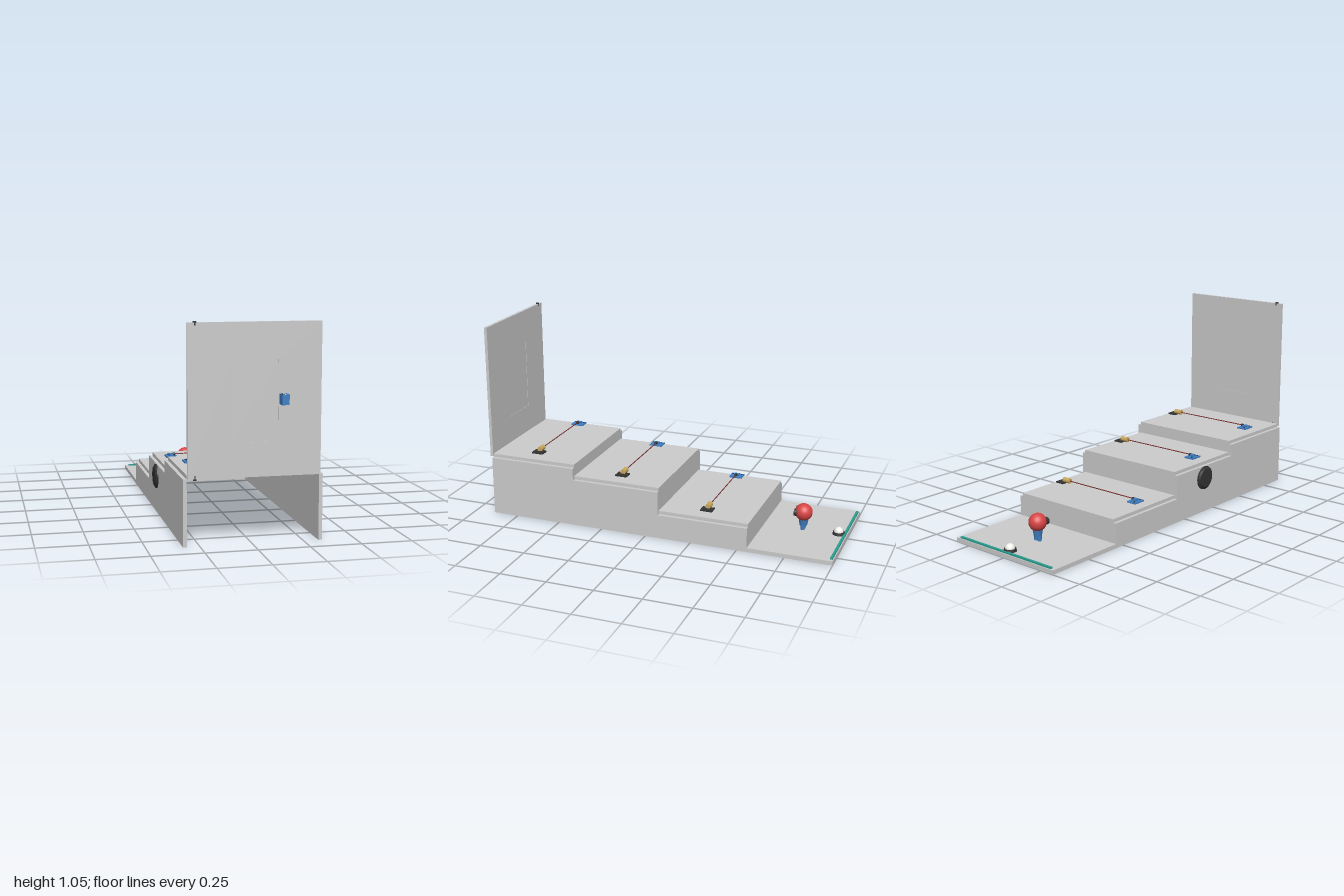
import * as THREE from 'three';

const mat = (color = 0xcccccc) => new THREE.MeshStandardMaterial({ color });
const GREY = mat(), DARK = mat(0x333333), BLUE = mat(0x3f7fc4), RED = mat(0xd84545);
const GOLD = mat(0xc9a85c), TEAL = mat(0x2a9d8f), WHITE = mat(0xf0f0e8), CORD = mat(0x7a2b2b);

function add(parent, name, geometry, material, x = 0, y = 0, z = 0) {
  const mesh = new THREE.Mesh(geometry, material);
  mesh.name = name;
  mesh.position.set(x, y, z);
  parent.add(mesh);
  return mesh;
}

// Box given by its minimum and maximum on each axis
function box(parent, name, material, [x0, x1], [y0, y1], [z0, z1]) {
  return add(parent, name, new THREE.BoxGeometry(x1 - x0, y1 - y0, z1 - z0), material,
    (x0 + x1) / 2, (y0 + y1) / 2, (z0 + z1) / 2);
}

// Cylinder lying along x or z, or standing along y
function rod(parent, name, material, axis, r0, r1, length, x, y, z) {
  const g = new THREE.CylinderGeometry(r1, r0, length, 32);
  if (axis === 'x') g.rotateZ(-Math.PI / 2);
  if (axis === 'z') g.rotateX(Math.PI / 2);
  return add(parent, name, g, material, x, y, z);
}

const group = (parent, name, x = 0, y = 0, z = 0) => {
  const g = new THREE.Group();
  g.name = name;
  g.position.set(x, y, z);
  parent.add(g);
  return g;
};

const INNER = [-0.312, 0.322];
const T = 0.018;
// Each step: back edge, front edge, underside of the tread
const STEPS = [[-0.555, -0.07, 0.129], [-0.07, 0.41, 0.256], [0.41, 0.89, 0.32]];

function buildStairs(root) {
  const stairs = group(root, 'staircase');
  // Stepped side walls
  const s = new THREE.Shape();
  s.moveTo(-0.555, 0);
  for (const [z0, z1, y] of STEPS) s.lineTo(z0, y).lineTo(z1, y);
  s.lineTo(0.89, 0);
  s.closePath();
  for (const [name, x] of [['rightWall', -0.33], ['leftWall', 0.322]]) {
    const g = new THREE.ExtrudeGeometry(s, { depth: T, bevelEnabled: false });
    g.rotateY(-Math.PI / 2).translate(T, 0, 0);
    add(stairs, name, g, GREY, x);
  }
  // Treads, risers and the strips under each tread
  let below = 0.0;
  for (const [z0, z1, y] of STEPS) {
    box(stairs, 'tread', GREY, INNER, [y, y + T], [z0, z1]);
    box(stairs, 'riser', GREY, INNER, [below, y], [z0, z0 + 0.015]);
    box(stairs, 'lightStrip', DARK, [-0.305, 0.315], [y - 0.018, y - 0.004], [z0 + 0.015, z0 + 0.02]);
    below = y;
  }
  box(stairs, 'basePlate', GREY, [-0.33, 0.34], [0, 0.022], [-1, -0.555]);
  box(stairs, 'edgeStrip', TEAL, [-0.31, 0.32], [0.022, 0.03], [-0.995, -0.982]);
}

function buildDoor(root) {
  const door = group(root, 'door');
  // Panel with a window opening and a slightly recessed pane
  const s = new THREE.Shape();
  s.moveTo(-0.312, 0.322).lineTo(0.322, 0.322).lineTo(0.322, 1.04).lineTo(-0.312, 1.04).closePath();
  const hole = new THREE.Path();
  hole.moveTo(-0.104, 0.485).lineTo(-0.104, 0.866).lineTo(0.115, 0.866).lineTo(0.115, 0.485).closePath();
  s.holes.push(hole);
  add(door, 'doorPanel', new THREE.ExtrudeGeometry(s, { depth: 0.016, bevelEnabled: false }), GREY, 0, 0, 0.893);
  box(door, 'windowPane', GREY, [-0.104, 0.115], [0.485, 0.866], [0.895, 0.907]);
  // Hinge pin and its knuckles
  rod(door, 'hingePin', DARK, 'y', 0.006, 0.006, 0.72, -0.277, 0.682, 0.901);
  for (const y of [0.327, 1.036]) rod(door, 'hingeKnuckle', DARK, 'y', 0.0085, 0.0085, y < 0.5 ? 0.022 : 0.018, -0.277, y, 0.901);
  // Lock motor with lever
  const motor = group(door, 'lockMotor');
  box(motor, 'motorBody', BLUE, [0.115, 0.15], [0.662, 0.711], [0.926, 0.974]);
  rod(motor, 'motorShaft', DARK, 'y', 0.005, 0.005, 0.008, 0.123, 0.713, 0.96);
  box(motor, 'motorLever', GREY, [0.119, 0.126], [0.713, 0.717], [0.945, 1.0]);
}

// Light beam across a tread: emitter, beam and receiver
function buildBeam(root, y, z) {
  const beam = group(root, 'lightBeam', 0, y, z);
  box(beam, 'emitterBase', DARK, [0.23, 0.28], [0.015, 0.022], [-0.032, 0.032]);
  rod(beam, 'emitterTube', GOLD, 'x', 0.014, 0.014, 0.045, 0.228, 0.03, 0);
  rod(beam, 'beam', CORD, 'x', 0.0025, 0.0025, 0.44, -0.01, 0.03, 0);
  box(beam, 'receiverBoard', BLUE, [-0.28, -0.224], [0.015, 0.022], [-0.035, 0.035]);
  box(beam, 'receiverBlock', BLUE, [-0.262, -0.242], [0.022, 0.032], [-0.014, 0.014]);
  rod(beam, 'receiverSensor', DARK, 'x', 0.008, 0.008, 0.01, -0.236, 0.029, 0);
  for (const zz of [-0.024, 0.024])
    rod(beam, 'boardScrew', DARK, 'y', 0.004, 0.004, 0.004, -0.265, 0.024, zz);
}

// Small figure with a round head and two large eyes
function buildFigure(root) {
  const f = group(root, 'figure', 0.003, 0, -0.765);
  add(f, 'head', new THREE.SphereGeometry(0.046, 32, 20), RED, 0, 0.118, 0);
  rod(f, 'torso', BLUE, 'y', 0.02, 0.027, 0.04, 0, 0.065, 0);
  for (const side of [-1, 1]) {
    rod(f, 'leg', BLUE, 'y', 0.01, 0.011, 0.032, side * 0.012, 0.036, 0);
    rod(f, 'foot', RED, 'y', 0.005, 0.005, 0.024, side * 0.012, 0.0118, 0);
    rod(f, 'eyeRim', DARK, 'z', 0.019, 0.019, 0.016, side * 0.02, 0.118, 0.038);
    rod(f, 'eyeLens', GREY, 'z', 0.014, 0.014, 0.004, side * 0.02, 0.118, 0.047);
  }
}

export function createModel() {
  const root = new THREE.Group();
  root.name = 'stairModel';
  buildStairs(root);
  buildDoor(root);
  [-0.315, 0.16, 0.647].forEach((z, i) => buildBeam(root, STEPS[i][2] + T, z));
  buildFigure(root);

  // Domed push button
  const button = group(root, 'pushButton', 0.003, 0.022, -0.955);
  rod(button, 'buttonBase', DARK, 'y', 0.033, 0.03, 0.014, 0, 0.007, 0);
  add(button, 'buttonDome', new THREE.SphereGeometry(0.025, 32, 12, 0, Math.PI * 2, 0, Math.PI / 2), WHITE, 0, 0.014, 0);

  // Round speaker set through the right wall
  const speaker = group(root, 'speaker', 0, 0.191, 0.165);
  rod(speaker, 'speakerBody', DARK, 'x', 0.063, 0.063, 0.028, -0.322, 0, 0);
  rod(speaker, 'speakerCone', DARK, 'x', 0.05, 0.06, 0.008, -0.34, 0, 0);
  return root;
}
